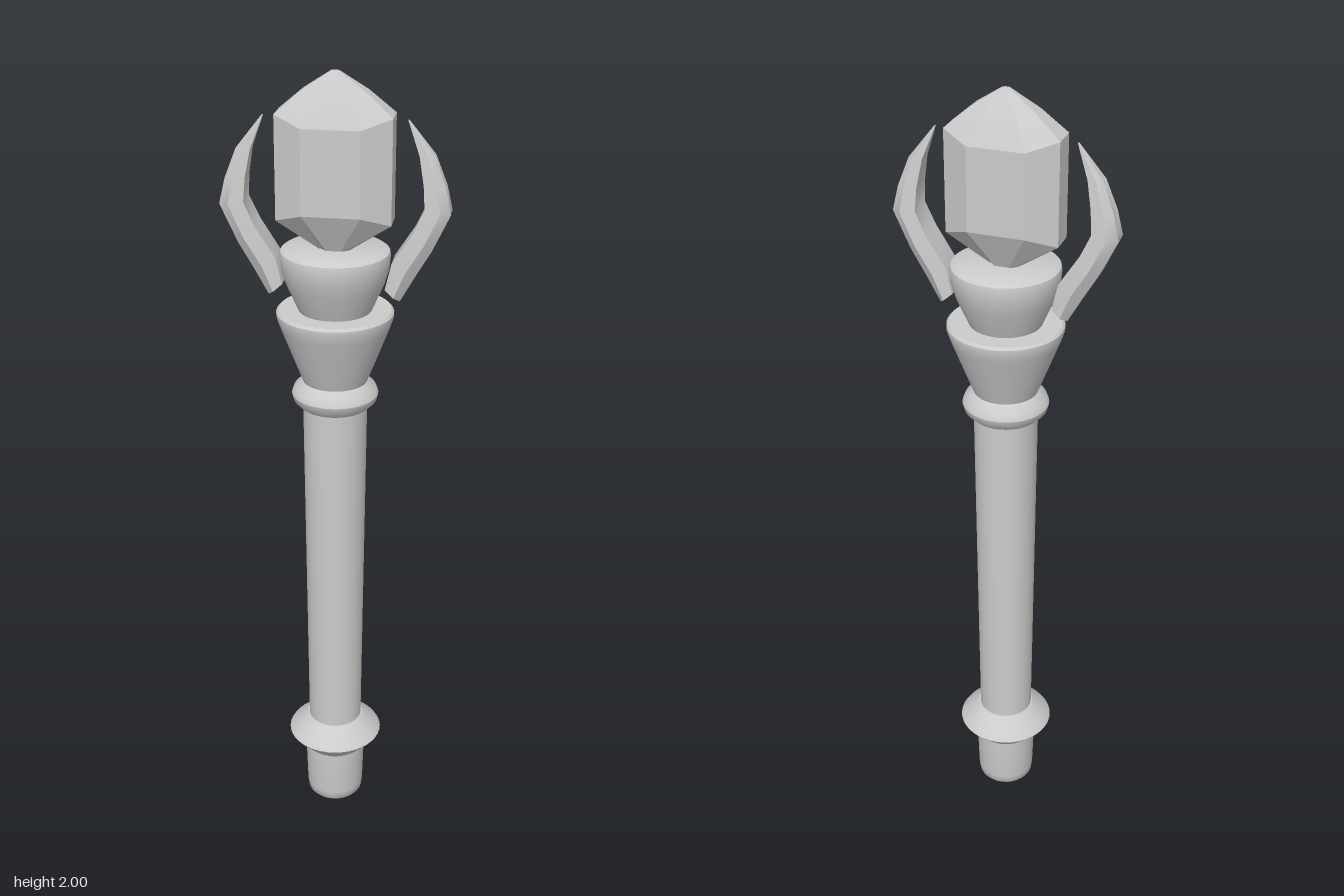
import * as THREE from 'three';
import { toCreasedNormals } from 'three/addons/utils/BufferGeometryUtils.js';

const material = new THREE.MeshStandardMaterial({ color: 0xcccccc });

function part(name, geometry, crease) {
  const mesh = new THREE.Mesh(toCreasedNormals(geometry, crease), material);
  mesh.name = name;
  return mesh;
}

// Turned part from a bottom-to-top list of [radius, height]
function turned(name, profile) {
  const points = profile.map(([r, y]) => new THREE.Vector2(r, y));
  return part(name, new THREE.LatheGeometry(points, 40), 0.6);
}

// Skin over stacked rings of points (counter-clockwise from above), capped at both ends
function loft(rings) {
  const n = rings[0].length;
  const positions = rings.flat(2);
  const index = [];
  for (let i = 0; i < rings.length - 1; i++) {
    for (let j = 0; j < n; j++) {
      const a = i * n + j, b = i * n + (j + 1) % n;
      index.push(a, b, b + n, a, b + n, a + n);
    }
  }
  const addCap = (ring, start, top) => {
    const centre = positions.length / 3;
    for (let k = 0; k < 3; k++) positions.push(ring.reduce((s, p) => s + p[k], 0) / n);
    for (let j = 0; j < n; j++) {
      const a = start + j, b = start + (j + 1) % n;
      index.push(centre, top ? a : b, top ? b : a);
    }
  };
  addCap(rings[0], 0, false);
  addCap(rings.at(-1), (rings.length - 1) * n, true);
  const geometry = new THREE.BufferGeometry();
  geometry.setAttribute('position', new THREE.Float32BufferAttribute(positions, 3));
  geometry.setIndex(index);
  geometry.computeVertexNormals();
  return geometry;
}

// Flattened eight-sided gem; narrow ends and broad faces meet the points at different heights
function crystal() {
  const plan = [[0.135, -0.032], [0.068, -0.072], [-0.068, -0.072], [-0.135, -0.032],
    [-0.135, 0.032], [-0.068, 0.072], [0.068, 0.072], [0.135, 0.032]];
  // x scale, z scale, height at ends, height at broad faces
  const levels = [[0.2, 0.35, 1.585, 1.585], [1, 1, 1.66, 1.685], [1, 1, 1.905, 1.885],
    [0.55, 0.58, 1.957, 1.95], [0.07, 0.1, 2, 2]];
  const rings = levels.map(([sx, sz, yEnd, yFace]) =>
    plan.map(([x, z]) => [x * sx, Math.abs(x) > 0.1 ? yEnd : yFace, z * sz]));
  return part('crystal', loft(rings), 0.3);
}

// Curved prong with a shallow groove down its outer face
function claw(name, turn) {
  // outer x, outer y, inner x, inner y, half depth
  const stations = [
    [0.157, 1.475, 0.122, 1.505, 0.038],
    [0.19, 1.535, 0.137, 1.57, 0.039],
    [0.228, 1.6, 0.185, 1.645, 0.04],
    [0.27, 1.69, 0.21, 1.7, 0.037],
    [0.256, 1.75, 0.206, 1.755, 0.031],
    [0.229, 1.82, 0.194, 1.82, 0.02],
    [0.168, 1.897, 0.165, 1.897, 0.002],
  ];
  // position from inner (0) to outer (1), depth factor
  const section = [[0.9, 0], [1, -0.5], [0.6, -1], [0, -0.85], [0, 0.85], [0.6, 1], [1, 0.5]];
  const rings = stations.map(([ox, oy, ix, iy, d]) =>
    section.map(([t, w]) => [ix + (ox - ix) * t, iy + (oy - iy) * t, d * w]));
  const mesh = part(name, loft(rings), 0.7);
  mesh.rotation.y = turn;
  return mesh;
}

export function createModel() {
  const group = new THREE.Group();
  group.name = 'sceptre';
  group.add(
    turned('pommel', [[0, 0], [0.066, 0], [0.073, 0.008], [0.076, 0.03], [0.08, 0.16], [0, 0.16]]),
    turned('lowerCollar', [[0, 0.16], [0.08, 0.16], [0.118, 0.2], [0.124, 0.208], [0.118, 0.217],
      [0.074, 0.258], [0, 0.258]]),
    turned('shaft', [[0.07, 0.25], [0.079, 1.2]]),
    turned('upperRing', [[0, 1.192], [0.086, 1.192], [0.102, 1.208], [0.106, 1.224], [0.1, 1.24],
      [0.08, 1.258], [0, 1.258]]),
    turned('flaredHead', [[0, 1.25], [0.078, 1.255], [0.132, 1.398], [0.141, 1.425], [0.141, 1.435],
      [0.135, 1.441], [0, 1.441]]),
    turned('cup', [[0, 1.44], [0.088, 1.44], [0.118, 1.51], [0.128, 1.545], [0.131, 1.575],
      [0.129, 1.586], [0.12, 1.592], [0, 1.592]]),
    crystal(),
    claw('leftClaw', 0),
    claw('rightClaw', Math.PI),
  );
  return group;
}
